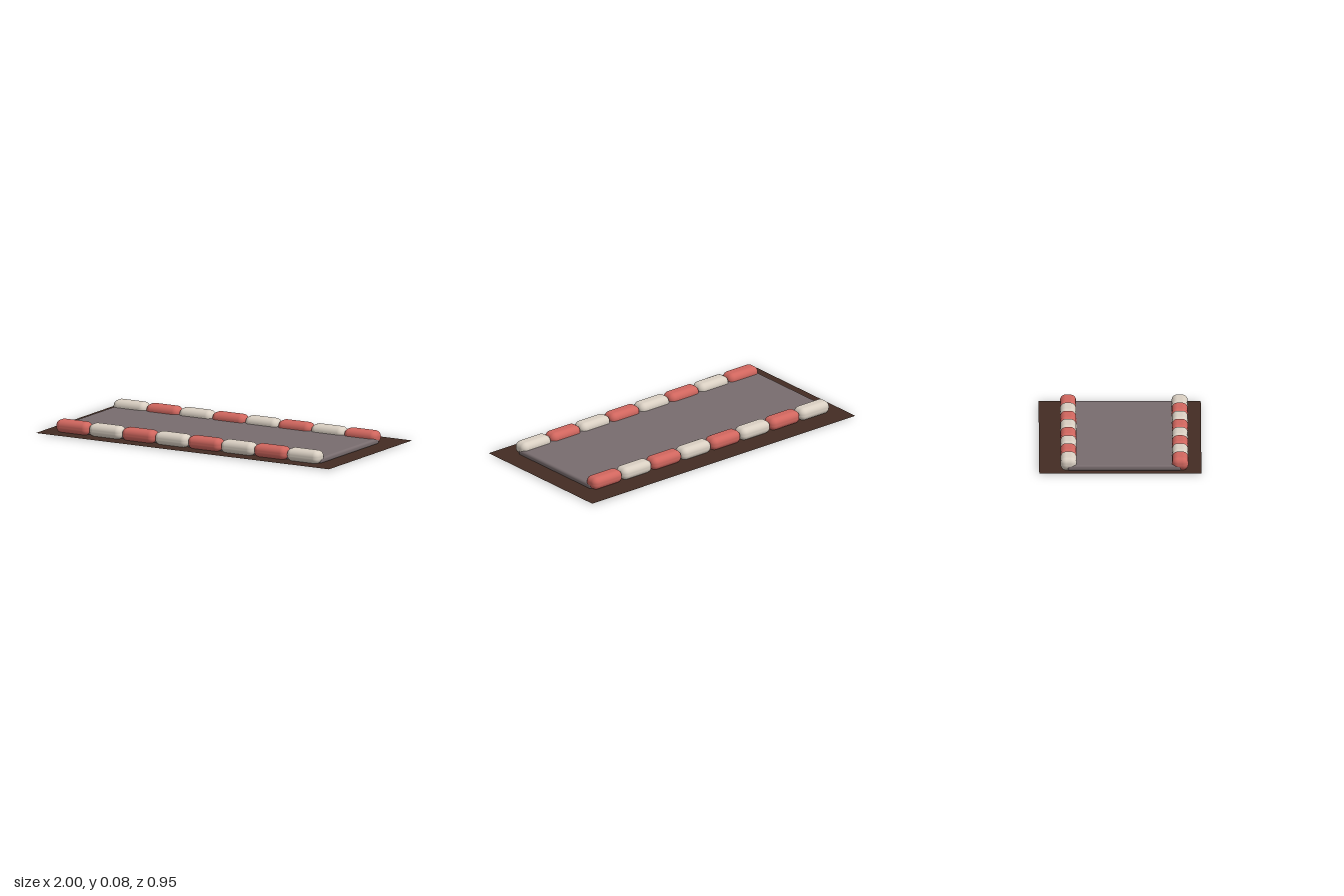
import * as THREE from 'three';
import { RoundedBoxGeometry } from 'three/addons/geometries/RoundedBoxGeometry.js';

export function createModel() {
  const group = new THREE.Group();
  const material = (name, color) => {
    const m = new THREE.MeshStandardMaterial({ color });
    m.name = name;
    return m;
  };
  const earth = material('dark earth', 0x432c23);
  const asphalt = material('grey asphalt', 0x786c6e);
  const red = material('kerb red', 0xd0665e);
  const white = material('kerb white', 0xd9cfc2);
  earth.side = THREE.DoubleSide;

  const add = (name, geometry, mat, x, y, z) => {
    const mesh = new THREE.Mesh(geometry, mat);
    mesh.name = name;
    mesh.position.set(x, y, z);
    group.add(mesh);
  };

  // Thin sheet of ground, just above the underside of the road
  add('ground', new THREE.PlaneGeometry(2, 0.95).rotateX(-Math.PI / 2), earth, 0, 0.004, 0);

  // Flat road slab with softened edges
  add('road', new RoundedBoxGeometry(1.795, 0.035, 0.665, 4, 0.014), asphalt, -0.022, 0.0175, 0.023);

  // Two rows of rounded kerb blocks in alternating colours
  const block = new RoundedBoxGeometry(0.22, 0.077, 0.095, 5, 0.034);
  [['frontKerb', 0.351], ['backKerb', -0.303]].forEach(([name, z], row) => {
    for (let i = 0; i < 8; i++) {
      add(name + (i + 1), block, (i + row) % 2 ? white : red, -0.81 + i * 0.225, 0.0385, z);
    }
  });

  return group;
}
